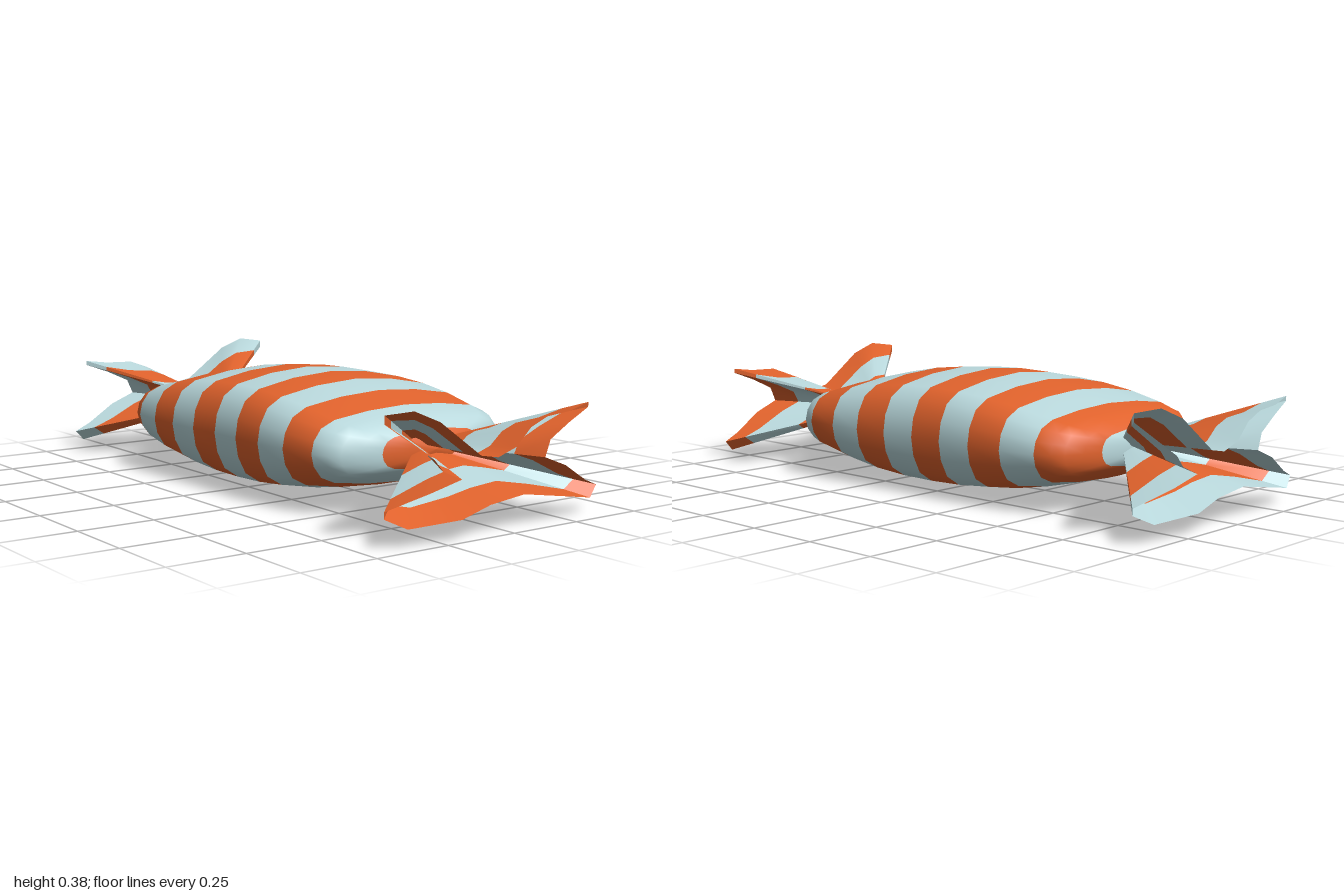
import * as THREE from 'three';
import { toCreasedNormals } from 'three/addons/utils/BufferGeometryUtils.js';

const orange = new THREE.MeshStandardMaterial({ color: 0xe0622c, side: THREE.DoubleSide });
orange.name = 'orange stripe';
const pale = new THREE.MeshStandardMaterial({ color: 0xb9d8dc, side: THREE.DoubleSide });
pale.name = 'pale blue stripe';

const STRIPE = 0.125;
const MID_Y = 0.192;

// Joins rings of [x, y, z] points into a tube; band i takes material colours[i]
function loft(rings, colours) {
  const n = rings[0].length;
  const index = [];
  const geo = new THREE.BufferGeometry();
  for (let i = 0; i < rings.length - 1; i++) {
    geo.addGroup(index.length, n * 6, colours[i]);
    for (let j = 0; j < n; j++) {
      const a = i * n + j, c = i * n + (j + 1) % n;
      index.push(a, a + n, c, c, a + n, c + n);
    }
  }
  geo.setAttribute('position', new THREE.Float32BufferAttribute(rings.flat(2), 3));
  geo.setIndex(index);
  geo.computeVertexNormals();
  return geo;
}

// Stripes alternate along x: 0 = orange, 1 = pale
const stripeAt = x => (Math.abs(Math.floor(x / STRIPE)) % 2 === 1 ? 0 : 1);

function makeBody() {
  // x, half height, half depth
  const half = [
    [0, 0.192, 0.373], [0.125, 0.188, 0.376], [0.25, 0.175, 0.378], [0.375, 0.152, 0.373],
    [0.5, 0.12, 0.358], [0.55, 0.105, 0.34], [0.58, 0.092, 0.31], [0.605, 0.076, 0.25],
    [0.625, 0.06, 0.19], [0.64, 0.035, 0.1], [0.646, 0, 0],
  ];
  const stations = [...half.slice(1).reverse().map(([x, h, w]) => [-x, h, w]), ...half];
  // Quarter of the pillow-shaped section, as (z, y)
  const quarter = [[1, 0], [0.975, 0.32], [0.9, 0.62], [0.76, 0.8], [0.4, 0.94], [0, 1]];
  const top = [...quarter, ...quarter.slice(0, -1).reverse().map(([z, y]) => [-z, y])];
  const section = [...top, ...top.slice(1, -1).reverse().map(([z, y]) => [z, -y])];
  const rings = stations.map(([x, h, w]) =>
    section.map(([z, y]) => [x, MID_Y + y * h, z * w + 0.006 - 0.02 * x]));
  const colours = stations.slice(0, -1).map(([x], i) => stripeAt((x + stations[i + 1][0]) / 2));
  const mesh = new THREE.Mesh(loft(rings, colours), [orange, pale]);
  mesh.name = 'wrappedBody';
  return mesh;
}

// Pleated wrapper end, flaring from a pinched neck to a four-pointed rim
function makeTwist(name, colours) {
  // Rim points: z, y, x
  const rim = [
    [0.43, 0.345, 0.94], [0.43, 0.37, 0.94], [0.36, 0.38, 0.98], [0.28, 0.345, 0.995],
    [0.12, 0.235, 0.985], [0.05, 0.222, 0.98], [-0.02, 0.245, 0.98], [-0.08, 0.295, 0.975],
    [-0.15, 0.32, 0.97], [-0.26, 0.325, 0.955], [-0.36, 0.34, 0.93], [-0.36, 0.325, 0.93],
    [-0.26, 0.29, 0.95], [-0.17, 0.25, 0.965], [-0.145, 0.2, 0.97], [-0.24, 0.165, 0.96],
    [-0.35, 0.105, 0.935], [-0.415, 0.08, 0.92], [-0.38, 0.045, 0.93], [-0.22, 0.075, 0.965],
    [-0.055, 0.103, 0.98], [0.08, 0.09, 0.985], [0.2, 0.065, 1], [0.37, 0.055, 0.97],
    [0.43, 0.085, 0.94], [0.43, 0.105, 0.94], [0.3, 0.15, 0.985], [0.19, 0.175, 0.985],
    [0.26, 0.205, 0.985], [0.29, 0.24, 0.985],
  ];
  const neckX = 0.625, pinch = 0.16, neckY = 0.2;
  const ringAt = x => rim.map(([rz, ry, rx]) => {
    const t = x === null ? 1 : (x - neckX) / (rx - neckX);
    const s = pinch + (1 - pinch) * t;
    return [x === null ? rx : x, neckY + (ry - neckY) * s, rz * s];
  });
  const rings = [neckX, 0.75, 0.875, null].map(ringAt);
  const mesh = new THREE.Mesh(toCreasedNormals(loft(rings, colours), 0.9), [orange, pale]);
  mesh.name = name;
  return mesh;
}

export function createModel() {
  const group = new THREE.Group();
  group.name = 'wrappedSweet';
  const leftTwist = makeTwist('leftTwist', [0, 1, 0]);
  const rightTwist = makeTwist('rightTwist', [1, 0, 1]);
  rightTwist.rotation.y = Math.PI;
  group.add(makeBody(), leftTwist, rightTwist);
  return group;
}
